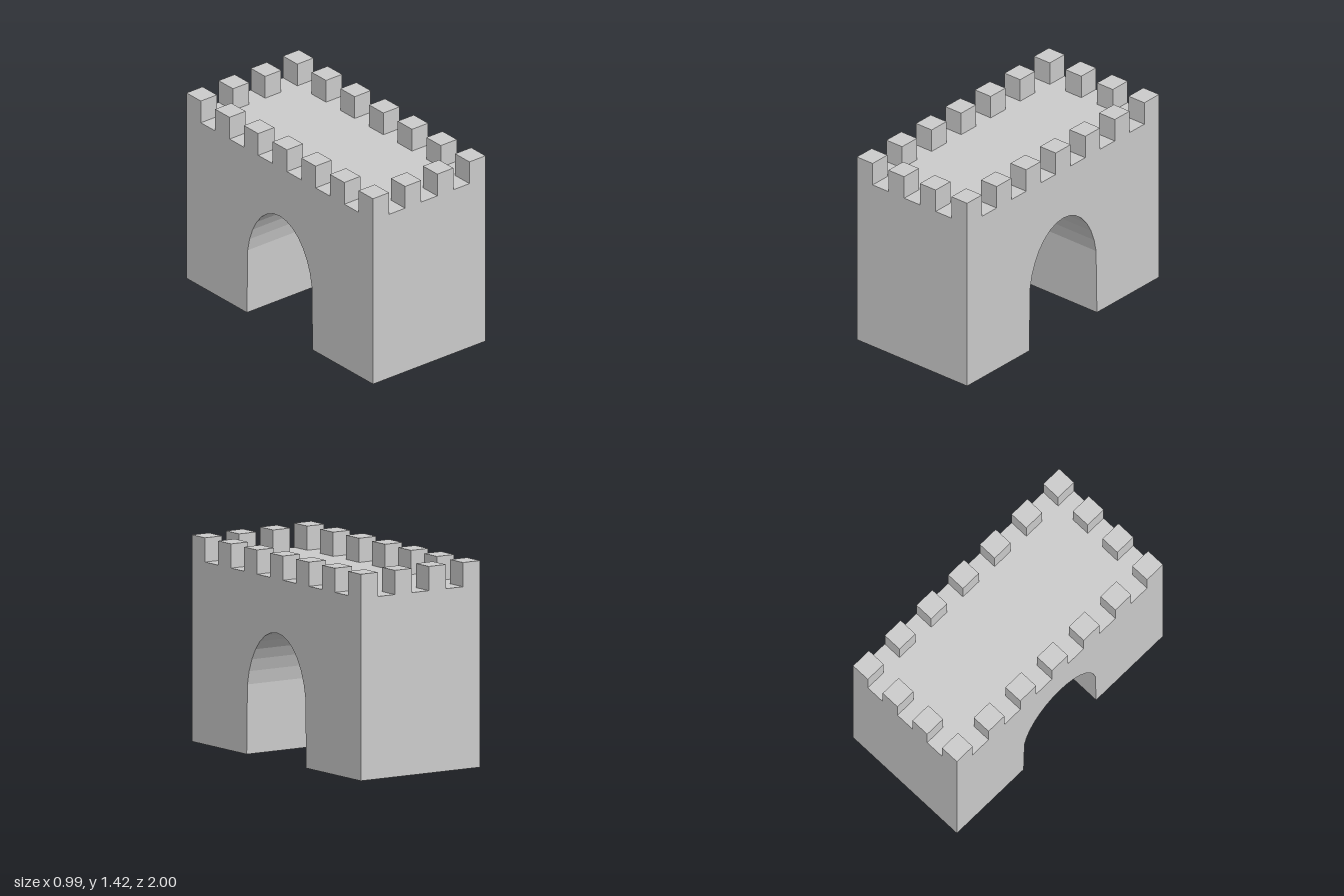
import * as THREE from 'three';

const HALF_W = 0.495, HALF_L = 1, WALL_TOP = 1.258, TOP = 1.425;
const MERLON_W = 0.141, MERLON_L = 0.154;

export function createModel() {
  const group = new THREE.Group();
  const material = new THREE.MeshStandardMaterial({ color: 0xcccccc, flatShading: true });

  // Gatehouse block: side outline with a faceted elliptical arch, extruded across x
  const outline = new THREE.Shape();
  outline.moveTo(-HALF_L, 0);
  outline.lineTo(-0.352, 0);
  for (let i = 15; i >= 1; i--) {
    const a = (i * Math.PI) / 16;
    outline.lineTo(0.35 * Math.cos(a), 0.385 + 0.5 * Math.sin(a));
  }
  outline.lineTo(0.352, 0);
  outline.lineTo(HALF_L, 0);
  outline.lineTo(HALF_L, WALL_TOP);
  outline.lineTo(-HALF_L, WALL_TOP);
  outline.closePath();
  const wallGeometry = new THREE.ExtrudeGeometry(outline, { depth: 2 * HALF_W, bevelEnabled: false });
  wallGeometry.translate(0, 0, -HALF_W).rotateY(Math.PI / 2);
  const walls = new THREE.Mesh(wallGeometry, material);
  walls.name = 'archedGatehouse';
  group.add(walls);

  // Battlements: 4 merlons across each end, 7 along each side, sharing the corners
  const battlements = new THREE.Group();
  battlements.name = 'battlements';
  const height = TOP - WALL_TOP;
  const merlonGeometry = new THREE.BoxGeometry(MERLON_W, height, MERLON_L);
  const spanX = HALF_W - MERLON_W / 2, spanZ = HALF_L - MERLON_L / 2;
  for (let i = 0; i < 4; i++) {
    for (let j = 0; j < 7; j++) {
      if (i % 3 !== 0 && j % 6 !== 0) continue;
      const merlon = new THREE.Mesh(merlonGeometry, material);
      merlon.name = 'merlon';
      merlon.position.set(-spanX + (2 * spanX * i) / 3, WALL_TOP + height / 2, -spanZ + (2 * spanZ * j) / 6);
      battlements.add(merlon);
    }
  }
  group.add(battlements);

  return group;
}
